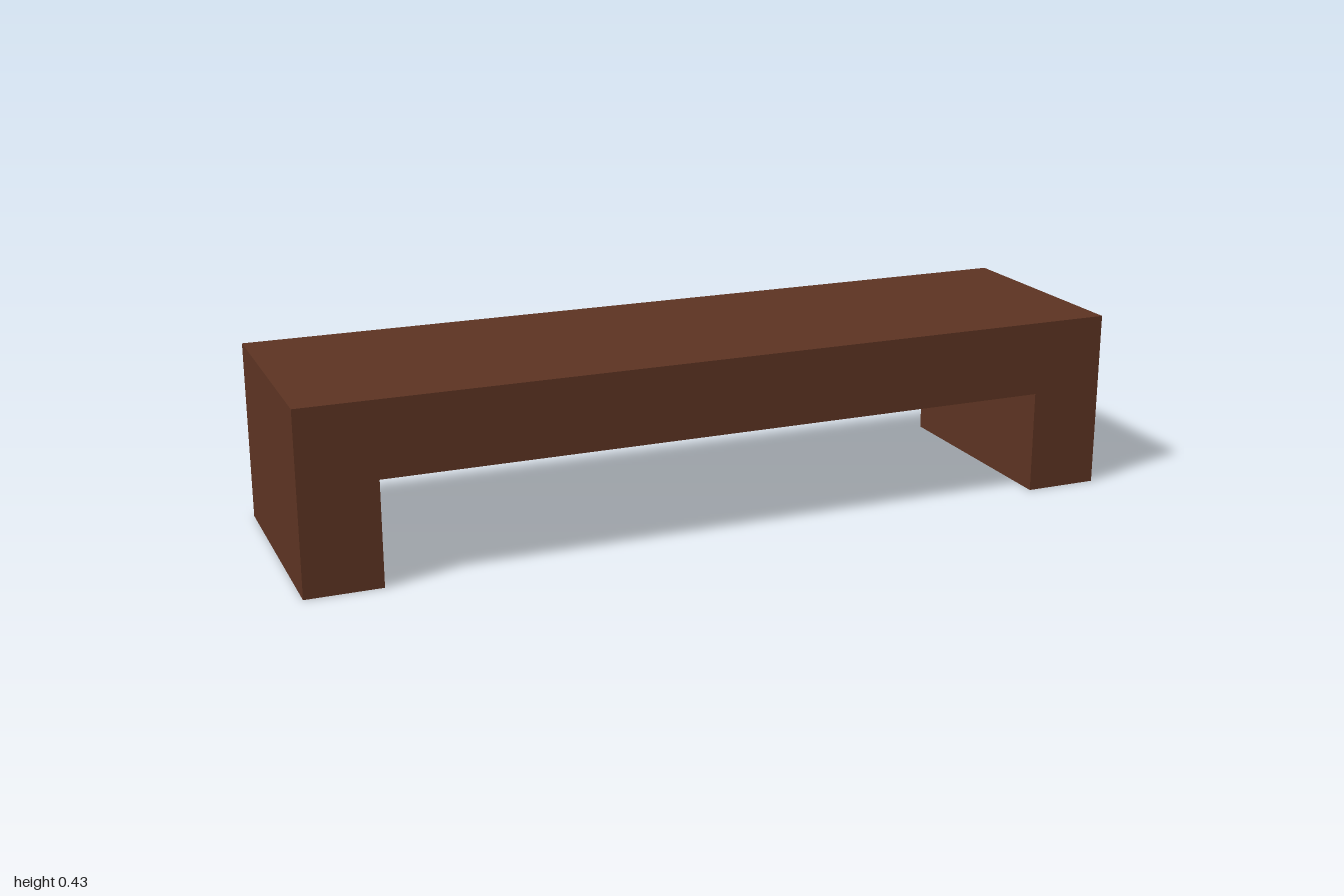
import * as THREE from 'three';

export function createModel() {
  const wood = new THREE.MeshStandardMaterial({ color: 0x5c3322 });
  wood.name = 'dark brown wood';

  const halfWidth = 1, height = 0.43, depth = 0.556;
  const innerHalf = 0.82, underside = 0.25;

  // Front outline: a slab with a leg at each end, in one seamless piece
  const outline = new THREE.Shape([
    [-halfWidth, 0], [-innerHalf, 0], [-innerHalf, underside], [innerHalf, underside],
    [innerHalf, 0], [halfWidth, 0], [halfWidth, height], [-halfWidth, height],
  ].map(([x, y]) => new THREE.Vector2(x, y)));

  const geometry = new THREE.ExtrudeGeometry(outline, { depth, bevelEnabled: false });
  geometry.translate(0, 0, -depth / 2);

  const bench = new THREE.Mesh(geometry, wood);
  bench.name = 'benchSeatAndLegs';

  const model = new THREE.Group();
  model.name = 'bench';
  model.add(bench);
  return model;
}
